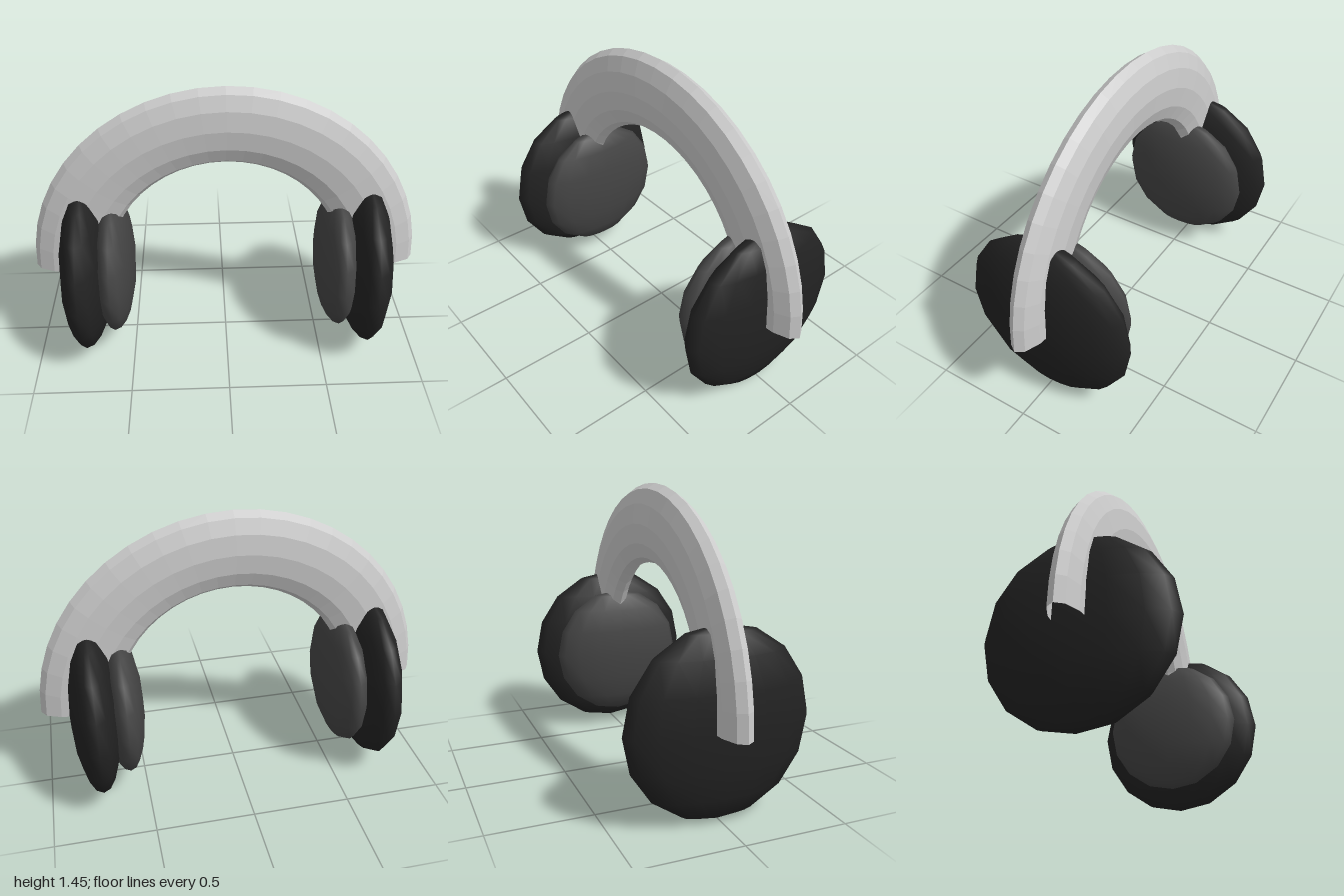
import * as THREE from 'three';

export function createModel() {
  const model = new THREE.Group();
  model.name = 'headphones';

  const bandMat = new THREE.MeshStandardMaterial({ color: 0xcccccc, flatShading: true, side: THREE.DoubleSide });
  bandMat.name = 'light grey';
  const cupMat = new THREE.MeshStandardMaterial({ color: 0x222222 });
  cupMat.name = 'near black';
  const padMat = new THREE.MeshStandardMaterial({ color: 0x444444 });
  padMat.name = 'dark grey';

  // Headband: flattened half ring, open at both ends
  const band = new THREE.Mesh(new THREE.TorusGeometry(0.8, 0.2, 12, 24, Math.PI), bandMat);
  band.name = 'headband';
  band.scale.z = 0.4;
  band.position.y = 0.45;
  model.add(band);

  // Lens-shaped disc facing sideways
  const disc = (name, radius, halfDepth, x, mat) => {
    const geo = new THREE.SphereGeometry(1, 16, 8).scale(halfDepth, radius, radius);
    const mesh = new THREE.Mesh(geo, mat);
    mesh.name = name;
    mesh.position.set(x, 0.45, 0);
    return mesh;
  };

  // Ear cup and cushion on each side
  for (const [side, s] of [['left', 1], ['right', -1]]) {
    const ear = new THREE.Group();
    ear.name = side + 'Earpiece';
    ear.add(disc(side + 'EarCup', 0.45, 0.13, s * 0.735, cupMat));
    ear.add(disc(side + 'Cushion', 0.36, 0.107, s * 0.588, padMat));
    model.add(ear);
  }
  return model;
}
